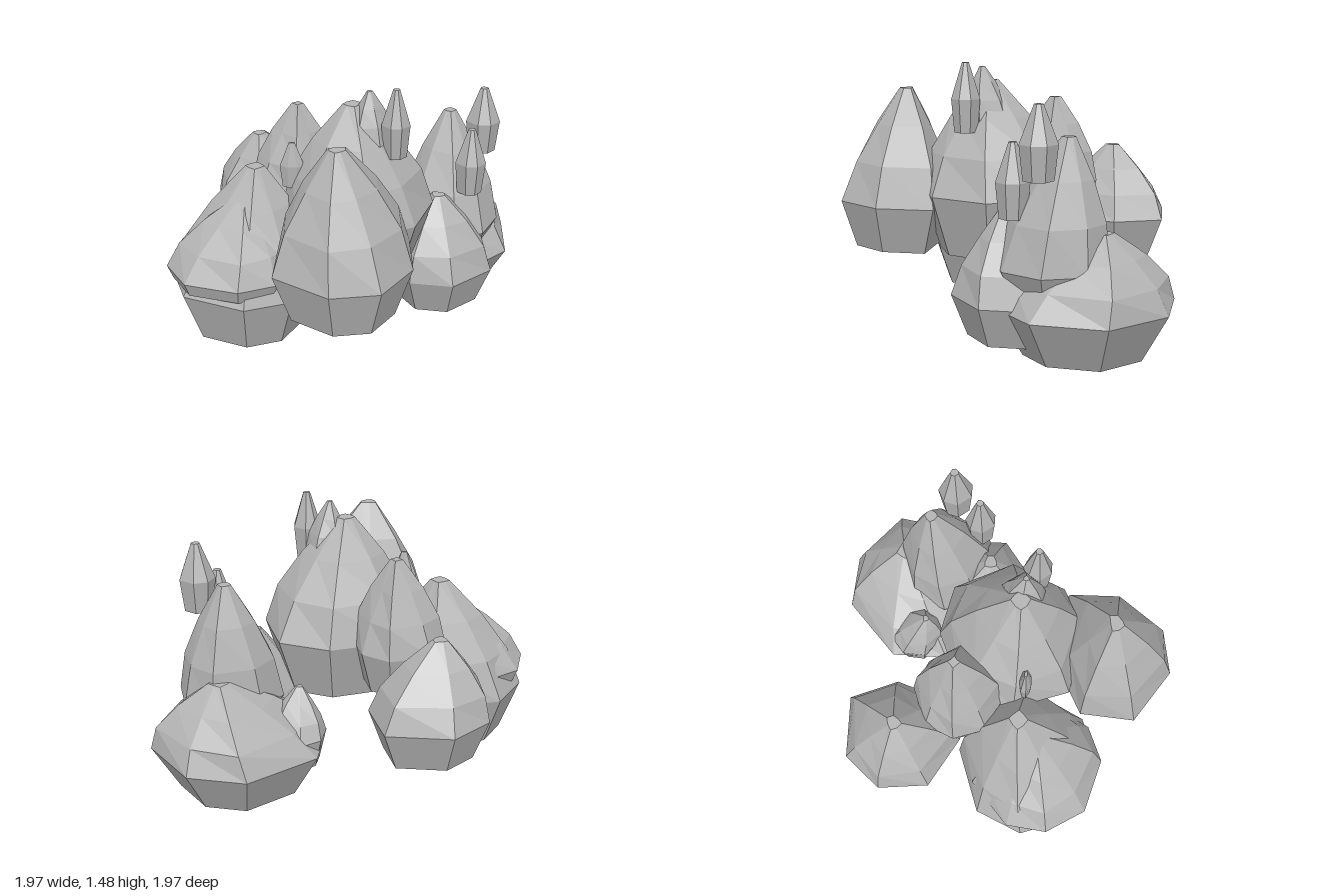
import * as THREE from 'three';

const stone = new THREE.MeshStandardMaterial({ color: 0xb4b4b4 });
stone.name = 'grey stone';
stone.flatShading = true;

// Skin stacked rings of [x, y, z] points, closed by a flat bottom and a blunt tip.
function skin(name, rings) {
  const pos = [];
  const tri = (a, b, c) => pos.push(...a, ...b, ...c);
  const n = rings[0].length;
  const last = rings[rings.length - 1];
  const mid = ring => [0, 1, 2].map(k => ring.reduce((s, p) => s + p[k], 0) / n);
  const low = mid(rings[0]);
  const top = mid(last);
  for (let j = 0; j < n; j++) {
    const k = (j + 1) % n;
    tri(low, rings[0][j], rings[0][k]);
    for (let i = 0; i + 1 < rings.length; i++) {
      const [a, b, c, d] = [rings[i][j], rings[i][k], rings[i + 1][k], rings[i + 1][j]];
      tri(a, d, c);
      tri(a, c, b);
    }
    tri(top, last[k], last[j]);
  }
  const geo = new THREE.BufferGeometry();
  geo.setAttribute('position', new THREE.Float32BufferAttribute(pos, 3));
  geo.computeVertexNormals();
  const mesh = new THREE.Mesh(geo, stone);
  mesh.name = name;
  return mesh;
}

// Horizontal polygon of n corners; scale(j) moves single corners in or out.
function ring(x, y, z, rx, rz, n, turn, scale = () => 1) {
  return Array.from({ length: n }, (_, j) => {
    const a = turn + j * Math.PI * 2 / n + 0.08 * Math.sin(j * 2.3);
    return [x + rx * scale(j) * Math.cos(a), y, z + rz * scale(j) * Math.sin(a)];
  });
}

// Boulder: widest at its waist, tapering to a flat base and up to a pleated, leaning peak.
// The corners map pushes single corners outwards.
function boulder(name, { centre, radii, sides, turn = 0, levels, peak, foot = 0.75, pleat = 0.18, corners = {} }) {
  const [x, z] = centre;
  const [rx, rz] = radii;
  const [base, waist, top] = levels;
  const push = j => corners[j] ?? 1;
  const rings = [
    ring(x, base, z, rx * foot, rz * foot, sides, turn, push),
    ring(x, waist, z, rx, rz, sides, turn, push),
  ];
  for (const [h, s] of [[0.35, 0.84], [0.68, 0.52], [1, 0.12]]) {
    rings.push(ring(
      x + (peak[0] - x) * h, waist + (top - waist) * h, z + (peak[1] - z) * h,
      rx * s, rz * s, sides, turn, j => push(j) * (1 + pleat * h * (j % 2 ? -1 : 0.3))));
  }
  return skin(name, rings);
}

// Slim crystal: narrow foot, wider waist, blunt point.
function crystal(name, x, z, base, tip, rx, rz = rx) {
  return skin(name, [[0, 0.8], [0.48, 1], [1, 0.24]].map(([t, s]) =>
    ring(x, base + (tip - base) * t, z, rx * s, rz * s, 7, 0.2)));
}

export function createModel() {
  const group = new THREE.Group();
  group.name = 'boulderCluster';

  // Raised boulders at the front and centre
  group.add(boulder('frontBoulder', {
    centre: [0.02, 0.67], radii: [0.36, 0.33], sides: 7, turn: 0.03,
    levels: [0.4, 0.67, 1.31], peak: [-0.02, 0.62], corners: { 3: 1.09, 4: 1.12, 6: 1.35 },
  }));
  group.add(boulder('centreBoulder', {
    centre: [0.07, 0.07], radii: [0.43, 0.42], sides: 8, turn: -0.12,
    levels: [0.41, 0.75, 1.37], peak: [0.04, 0.11], corners: { 3: 1.1, 5: 1.05, 7: 1.08 },
  }));
  group.add(boulder('centrePeak', {
    centre: [0.13, 0.11], radii: [0.14, 0.14], sides: 6,
    levels: [1, 1.17, 1.45], peak: [0.13, 0.13],
  }));

  // Stacked pair on the right
  group.add(boulder('rightLowerBoulder', {
    centre: [-0.56, 0.22], radii: [0.43, 0.41], sides: 8,
    levels: [0.06, 0.36, 1.01], peak: [-0.5, 0.15],
  }));
  group.add(boulder('rightUpperBoulder', {
    centre: [-0.61, 0.27], radii: [0.39, 0.38], sides: 9, turn: 0.1, foot: 0.92,
    levels: [0.4, 0.48, 0.87], peak: [-0.55, 0.25],
  }));

  // Back right boulder and the spire beside it
  group.add(boulder('backRightBoulder', {
    centre: [-0.52, -0.52], radii: [0.33, 0.34], sides: 7, turn: -0.18,
    levels: [0.3, 0.53, 0.94], peak: [-0.56, -0.52], corners: { 6: 1.14 },
  }));
  group.add(boulder('innerSpire', {
    centre: [-0.31, -0.2], radii: [0.26, 0.26], sides: 8, pleat: 0.3,
    levels: [0.52, 0.76, 1.25], peak: [-0.29, -0.21],
  }));

  // Cluster on the left
  group.add(boulder('backLeftBoulder', {
    centre: [0.53, -0.52], radii: [0.49, 0.48], sides: 8, turn: -0.4, foot: 0.7,
    levels: [0, 0.26, 0.65], peak: [0.6, -0.62],
  }));
  group.add(boulder('leftFrontBoulder', {
    centre: [0.54, -0.15], radii: [0.34, 0.34], sides: 7, turn: 0.36,
    levels: [0.06, 0.28, 0.74], peak: [0.53, -0.1],
  }));
  group.add(boulder('leftTallSpire', {
    centre: [0.61, -0.36], radii: [0.3, 0.3], sides: 8, pleat: 0.1,
    levels: [0.32, 0.47, 1.14], peak: [0.6, -0.44],
  }));
  group.add(boulder('smallBackStone', {
    centre: [0.2, -0.53], radii: [0.16, 0.16], sides: 7,
    levels: [0.16, 0.33, 0.58], peak: [0.2, -0.46],
  }));

  // Slim crystals standing on the slopes
  group.add(crystal('centreCrystal', 0.275, 0.185, 1.1, 1.48, 0.08));
  group.add(crystal('leftTallCrystal', 0.785, -0.32, 0.94, 1.32, 0.1));
  group.add(crystal('leftShortCrystal', 0.715, -0.175, 0.73, 1.12, 0.09));
  group.add(crystal('rightSliverCrystal', -0.29, 0.17, 0.9, 1.16, 0.07, 0.035));

  return group;
}
